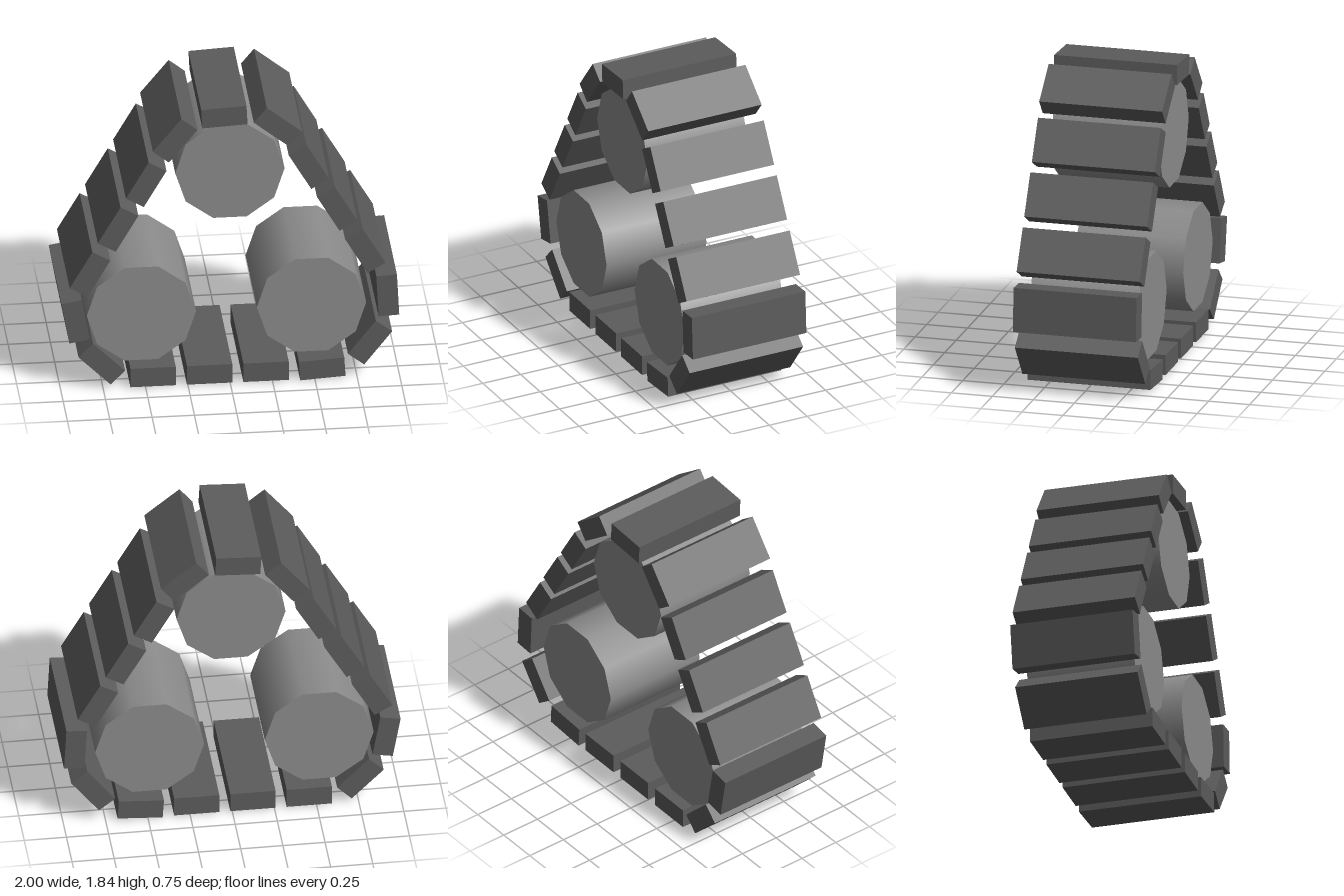
import * as THREE from 'three';

export function createModel() {
  const model = new THREE.Group();
  model.name = 'trackAssembly';
  const wheelMaterial = new THREE.MeshStandardMaterial({ color: 0x8c8c8c });
  const treadMaterial = new THREE.MeshStandardMaterial({ color: 0x5c5c5c });

  // Three ten-sided rollers with smooth sides, lying along z
  const wheelGeometry = new THREE.CylinderGeometry(0.323, 0.323, 0.66, 10);
  wheelGeometry.rotateY(Math.PI / 2).rotateX(Math.PI / 2);
  const wheels = [
    ['topWheel', 0.002, 1.396],
    ['rightWheel', -0.521, 0.476],
    ['leftWheel', 0.484, 0.481],
  ];
  for (const [name, x, y] of wheels) {
    const wheel = new THREE.Mesh(wheelGeometry, wheelMaterial);
    wheel.name = name;
    wheel.position.set(x, y, 0);
    model.add(wheel);
  }

  // Tread plates around the rollers: x, y, tilt in degrees
  const plates = [
    [-0.035, 1.778, 3], [0.281, 1.695, -39],
    [0.464, 1.42, -60], [0.631, 1.134, -60], [0.797, 0.845, -60],
    [0.93, 0.543, -87], [0.825, 0.235, 52], [0.543, 0.075, 3.5],
    [0.211, 0.074, 0], [-0.122, 0.074, 0], [-0.456, 0.074, 0],
    [-0.759, 0.176, -45], [-0.914, 0.465, -80],
    [-0.829, 0.775, 60], [-0.663, 1.064, 60], [-0.497, 1.353, 60],
    [-0.326, 1.636, 51],
  ];
  const plateGeometry = new THREE.BoxGeometry(0.268, 0.122, 0.75);
  const track = new THREE.Group();
  track.name = 'track';
  plates.forEach(([x, y, tilt], i) => {
    const plate = new THREE.Mesh(plateGeometry, treadMaterial);
    plate.name = `treadPlate${i + 1}`;
    plate.position.set(x, y, 0);
    plate.rotation.z = THREE.MathUtils.degToRad(tilt);
    track.add(plate);
  });
  model.add(track);
  return model;
}
